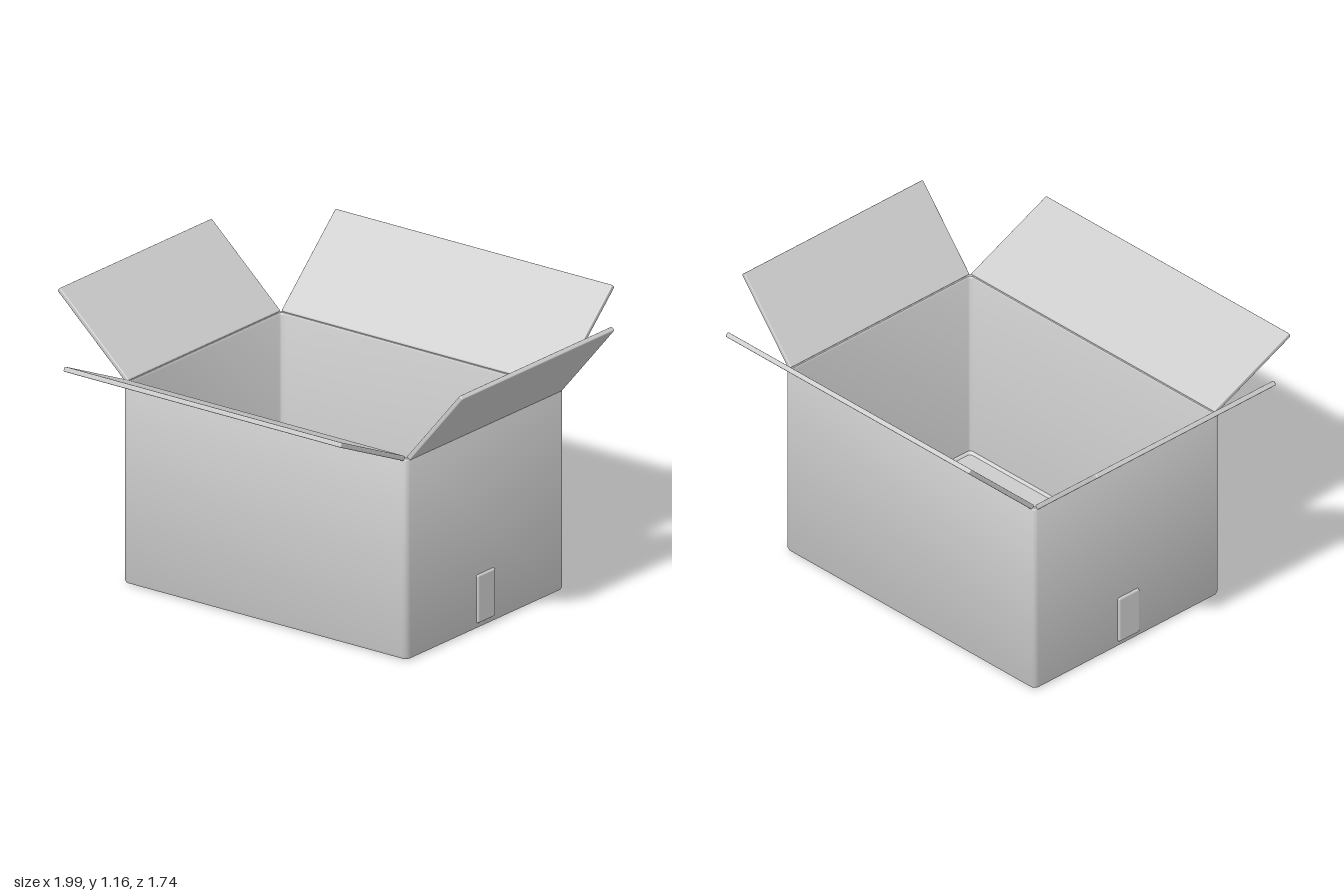
import * as THREE from 'three';
import { toCreasedNormals } from 'three/addons/utils/BufferGeometryUtils.js';
import { RoundedBoxGeometry } from 'three/addons/geometries/RoundedBoxGeometry.js';

const CX = 0.036, CZ = -0.03; // centre of the box body
const HX = 0.7, HZ = 0.5; // half width and half depth
const RIM = 0.838;

// Rounded rectangle ring, pulled in by inset; scale 0 collapses it to the centre
function ring(inset, y, scale = 1) {
  const points = [], r = Math.max(0.024 - inset * 0.4, 0.01), steps = 5;
  for (let c = 0; c < 4; c++) {
    const sx = c === 0 || c === 3 ? 1 : -1, sz = c < 2 ? 1 : -1;
    for (let i = 0; i <= steps; i++) {
      const t = (c + i / steps) * Math.PI / 2;
      points.push([
        CX + scale * (sx * (HX - inset - r) + Math.cos(t) * r), y,
        CZ + scale * (sz * (HZ - inset - r) + Math.sin(t) * r)]);
    }
  }
  return points;
}

// Skin consecutive rings into one closed shell
function loft(rings) {
  const pos = [], n = rings[0].length;
  for (let j = 0; j < rings.length - 1; j++) {
    for (let i = 0; i < n; i++) {
      const k = (i + 1) % n;
      const a = rings[j][i], b = rings[j][k], c = rings[j + 1][i], d = rings[j + 1][k];
      if (j < rings.length - 2) pos.push(...a, ...c, ...d);
      else pos.push(...a, ...c, ...b);
      if (j > 0 && j < rings.length - 2) pos.push(...a, ...d, ...b);
    }
  }
  const geometry = new THREE.BufferGeometry();
  geometry.setAttribute('position', new THREE.Float32BufferAttribute(pos, 3));
  return toCreasedNormals(geometry, 0.6);
}

export function createModel() {
  const model = new THREE.Group();
  model.name = 'openBox';
  const card = new THREE.MeshStandardMaterial({ color: 0xcccccc });
  card.name = 'pale grey cardboard';

  const add = (name, geometry) => {
    const mesh = new THREE.Mesh(geometry, card);
    mesh.name = name;
    model.add(mesh);
    return mesh;
  };

  // Body: underside, outer walls, rim, inner walls and floor in one shell
  add('boxBody', loft([
    ring(0, 0, 0), ring(0.014, 0), ring(0.004, 0.004), ring(0, 0.014),
    ring(0, 0.828), ring(0.004, RIM - 0.002), ring(0.009, RIM),
    ring(0.016, RIM - 0.002), ring(0.02, 0.828),
    ring(0.02, 0.03), ring(0.03, 0.02), ring(0, 0.02, 0)]));

  // Four flaps, each hinged on the rim: hinge, outward reach, rise, width, turn about y
  const flaps = [
    ['leftFlap', 0.728, CZ, 0.262, 0.315, 0.966, 0],
    ['rightFlap', -0.654, CZ, 0.339, 0.305, 0.966, Math.PI],
    ['frontFlap', CX, 0.46, 0.406, 0.178, 1.366, -Math.PI / 2],
    ['backFlap', CX, -0.52, 0.344, 0.322, 1.366, Math.PI / 2],
  ];
  for (const [name, x, z, reach, rise, width, turn] of flaps) {
    const length = Math.hypot(reach, rise);
    const geometry = new RoundedBoxGeometry(length, 0.02, width, 2, 0.005);
    geometry.translate(length / 2, 0, 0);
    geometry.rotateZ(Math.atan2(rise, reach));
    geometry.rotateY(turn);
    add(name, geometry).position.set(x, RIM - 0.003, z);
  }

  // Tape ends low on the two short walls
  for (const [name, side] of [['leftTapeEnd', 1], ['rightTapeEnd', -1]]) {
    add(name, new RoundedBoxGeometry(0.024, 0.2, 0.112, 2, 0.008))
      .position.set(CX + side * (HX - 0.002), 0.126, -0.026);
  }
  return model;
}
